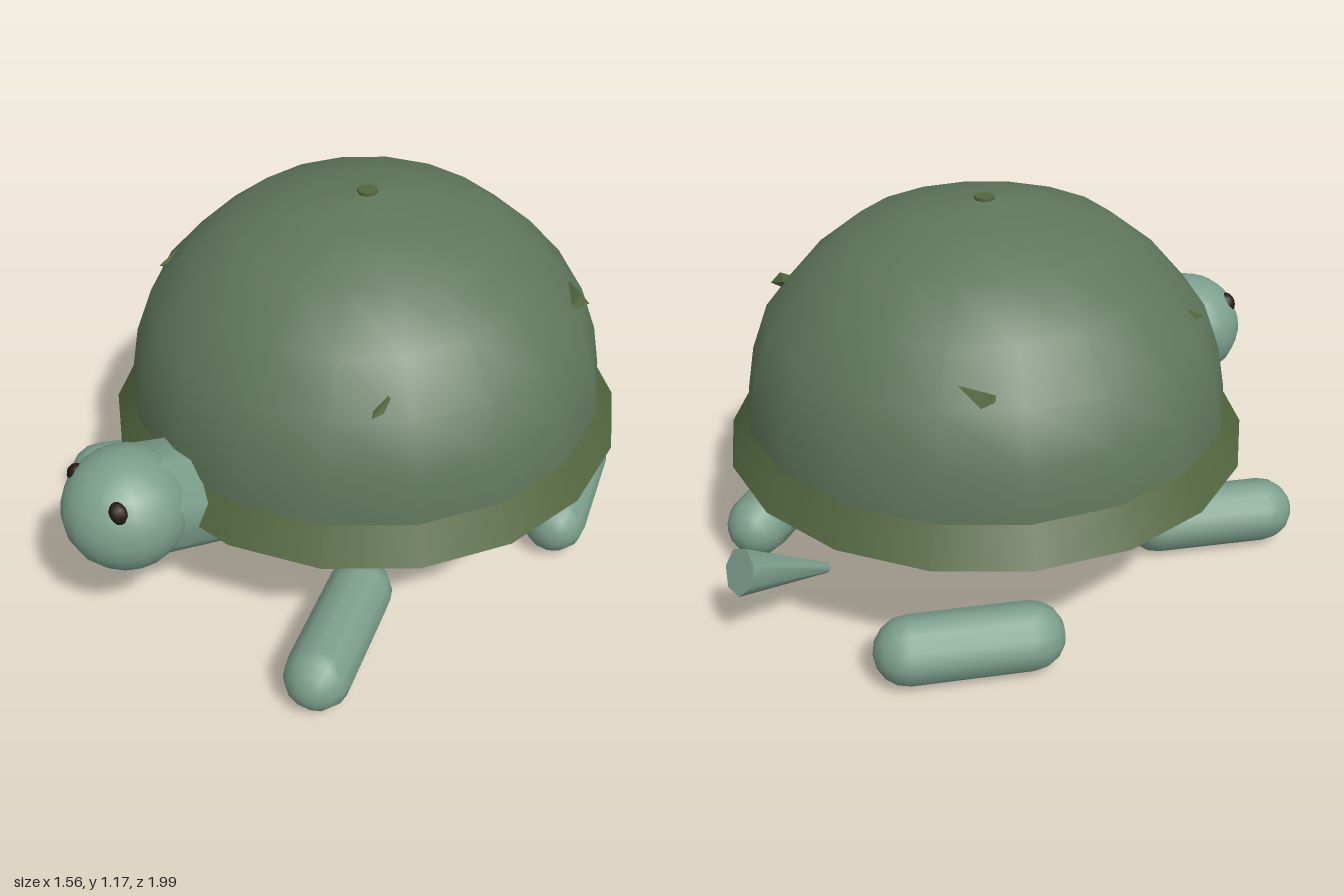
import * as THREE from 'three';
import { ConvexGeometry } from 'three/addons/geometries/ConvexGeometry.js';

const v = (x, y, z) => new THREE.Vector3(x, y, z);

export function createModel() {
  const model = new THREE.Group();
  const shellMat = new THREE.MeshStandardMaterial({ color: 0x5f765b });
  const rimMat = new THREE.MeshStandardMaterial({ color: 0x53663f });
  const skinMat = new THREE.MeshStandardMaterial({ color: 0x7c9f8d });
  const eyeMat = new THREE.MeshStandardMaterial({ color: 0x231712 });

  function add(name, geometry, material, position = v(0, 0, 0)) {
    const mesh = new THREE.Mesh(geometry, material);
    mesh.name = name;
    mesh.position.copy(position);
    model.add(mesh);
    return mesh;
  }

  // Lay a y-aligned mesh along the line from a to b
  function along(mesh, a, b) {
    mesh.position.copy(a).lerp(b, 0.5);
    mesh.quaternion.setFromUnitVectors(v(0, 1, 0), b.clone().sub(a).normalize());
    return mesh;
  }

  // Domed shell
  const centreZ = -0.08;
  const profile = [
    [0.73, 0.44], [0.73, 0.55], [0.705, 0.685], [0.652, 0.828],
    [0.537, 0.96], [0.395, 1.073], [0.2, 1.136], [0, 1.168],
  ].map(([r, y]) => new THREE.Vector2(r, y));
  add('shellDome', new THREE.LatheGeometry(profile, 18), shellMat, v(0, 0, centreZ));

  // Flared rim, closed underneath
  add('shellRim', new THREE.CylinderGeometry(0.73, 0.79, 0.105, 18), rimMat, v(0, 0.482, centreZ));

  // Small bumps breaking through the shell: one on the crown, four around it
  add('crownBump', new THREE.CylinderGeometry(0.03, 0.03, 0.02, 8), rimMat, v(0, 1.162, centreZ));
  for (const side of [1, -1]) {
    for (const dz of [0, -0.755]) {
      const corners = [
        [0.42, 0.883, 0.24], [0.507, 0.85, 0.245], [0.495, 0.845, 0.335],
        [0.49, 0.883, 0.27], [0.4, 0.81, 0.2 + (dz ? 0.12 : 0)],
      ].map(([x, y, z]) => v(side * x, y, z + dz));
      add('shellBump', new ConvexGeometry(corners), rimMat);
    }
  }

  // Head and eyes
  const headCentre = v(0, 0.48, 0.815);
  add('head', new THREE.SphereGeometry(0.185, 18, 12), skinMat, headCentre).scale.y = 0.96;
  for (const side of [1, -1]) {
    const eye = add('eye', new THREE.SphereGeometry(0.033, 10, 8), eyeMat, v(side * 0.11, 0.578, 0.9));
    eye.scale.set(0.8, 1.05, 0.8);
    eye.rotation.z = -side * -0.5;
  }

  // Neck rising from under the shell into the head
  const neckStart = v(0, 0.345, 0.42);
  const neckEnd = v(0, 0.48, 0.79);
  const neckGeo = new THREE.CylinderGeometry(0.17, 0.17, neckStart.distanceTo(neckEnd), 8);
  neckGeo.rotateY(Math.PI / 8);
  along(add('neck', neckGeo, skinMat), neckStart, neckEnd);

  // Four flat-lying legs; each side's pair is parallel
  for (const side of [1, -1]) {
    for (const [name, dz] of [['frontLeg', 0], ['backLeg', -0.98]]) {
      const inner = v(side * 0.4, 0.1, 0.29 + dz);
      const outer = v(side * 0.57, 0.1, 0.59 + dz);
      const geo = new THREE.CapsuleGeometry(0.1, inner.distanceTo(outer), 4, 12);
      along(add(name, geo, skinMat), inner, outer);
    }
  }

  // Tail, widening toward its end
  const tailStart = v(0, 0.155, -0.69);
  const tailEnd = v(0, 0.276, -0.973);
  const tailGeo = new THREE.CylinderGeometry(0.07, 0.015, tailStart.distanceTo(tailEnd), 7);
  along(add('tail', tailGeo, skinMat), tailStart, tailEnd);

  return model;
}
